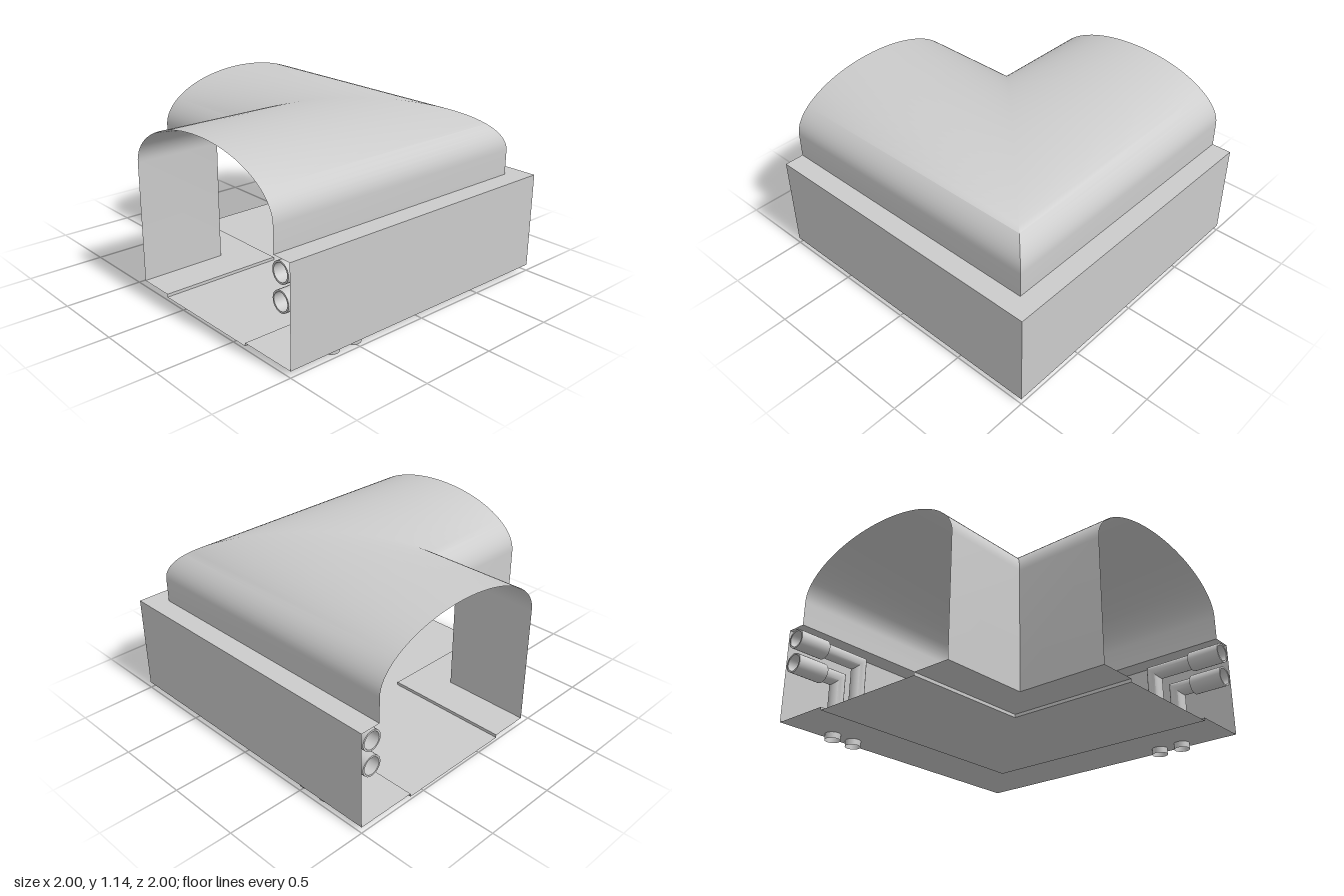
import * as THREE from 'three';
import { toCreasedNormals } from 'three/addons/utils/BufferGeometryUtils.js';

const material = new THREE.MeshStandardMaterial({ color: 0xcccccc, side: THREE.DoubleSide });

// Skin a list of rows, each a list of [x, y, z] points
function skin(rows, crease) {
  const pos = [];
  for (let j = 0; j < rows.length - 1; j++) {
    for (let i = 0; i < rows[j].length - 1; i++) {
      const a = rows[j][i], b = rows[j][i + 1], c = rows[j + 1][i + 1], d = rows[j + 1][i];
      pos.push(...a, ...b, ...d, ...b, ...c, ...d);
    }
  }
  const geo = new THREE.BufferGeometry();
  geo.setAttribute('position', new THREE.Float32BufferAttribute(pos, 3));
  geo.computeVertexNormals();
  return toCreasedNormals(geo, crease);
}

// Sweep a profile of [offset, height] round the mitred corner
function cornerSweep(name, profile, crease) {
  const rows = [
    profile.map(([d, y]) => [-1, y, d]),
    profile.map(([d, y]) => [d, y, d]),
    profile.map(([d, y]) => [d, y, -1]),
  ];
  const mesh = new THREE.Mesh(skin(rows, crease), material);
  mesh.name = name;
  return mesh;
}

// Upright pipe with a mitred elbow and a wider open socket at x = -1
function pipe(name, x0, h) {
  const n = 24, r = 0.05, R = 0.065;
  const ring = (f) => Array.from({ length: n + 1 }, (_, i) => {
    const t = ((i % n) / n) * Math.PI * 2;
    return f(Math.cos(t), -Math.sin(t));
  });
  const across = (x, rad) => ring((c, s) => [x, h + rad * c, rad * s]);
  const rows = [
    ring((c, s) => [x0 + r * c, 0, r * s]),
    ring((c, s) => [x0 + r * c, h + r * c, r * s]),
    across(-0.78, r),
    across(-0.78, R),
    across(-1, R),
    across(-1, 0.054),
    across(-0.8, 0.054),
    across(-0.8, r),
  ];
  const mesh = new THREE.Mesh(skin(rows, 0.6), material);
  mesh.name = name;
  return mesh;
}

export function createModel() {
  const group = new THREE.Group();
  group.name = 'cornerDuct';

  // Arched cover: inner wall, half-ellipse crown, short outer wall
  const arch = [[-0.42, 0.04]];
  for (let i = 0; i <= 40; i++) {
    const t = Math.PI * (1 - i / 40);
    arch.push([0.225 + 0.645 * Math.cos(t), 0.82 + 0.32 * Math.sin(t)]);
  }
  arch.push([0.87, 0.66]);
  group.add(cornerSweep('archedCover', arch, 0.9));

  // Outer casing with its ledge
  group.add(cornerSweep('outerCasing', [[0.87, 0.66], [1, 0.66], [1, 0.04]], 0.5));

  // Floor with a shallow sunken channel
  group.add(cornerSweep('floor', [
    [1, 0.04], [0.61, 0.04], [0.61, 0.02], [-0.17, 0.02], [-0.17, 0.04], [-0.42, 0.04],
  ], 0.5));

  // A pair of pipes in each arm
  for (const side of ['front', 'left']) {
    const pair = new THREE.Group();
    pair.name = side + 'Pipes';
    pair.add(pipe('upperPipe', -0.485, 0.58), pipe('lowerPipe', -0.65, 0.415));
    if (side === 'front') {
      pair.position.z = 0.925;
    } else {
      pair.rotation.y = -Math.PI / 2;
      pair.position.x = 0.925;
    }
    group.add(pair);
  }
  return group;
}
